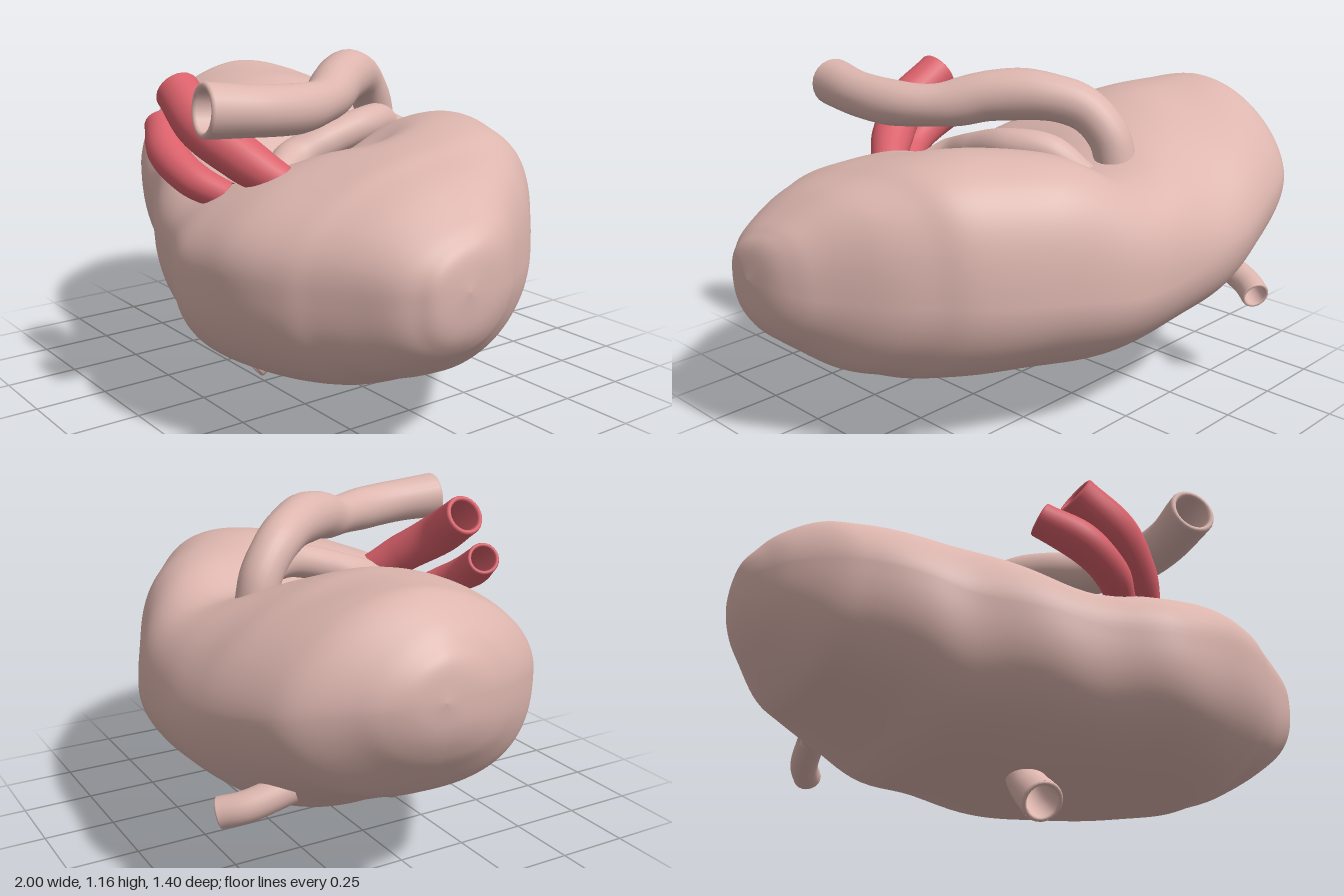
import * as THREE from 'three';

const tissue = new THREE.MeshStandardMaterial({ color: 0xdcb5ae, side: THREE.DoubleSide });
const red = new THREE.MeshStandardMaterial({ color: 0xd9606a, side: THREE.DoubleSide });

// Cross-sections along x: [x, top, bottom, back, front]
const SECTIONS = [
  [-1, .78, .78, -.2, -.2], [-.985, .88, .68, -.3, -.08], [-.95, .93, .6, -.38, .03],
  [-.9, .98, .53, -.45, .13], [-.8, 1.04, .42, -.57, .27], [-.7, 1.045, .37, -.63, .34],
  [-.55, 1.035, .3, -.68, .41], [-.4, 1.02, .225, -.7, .46], [-.2, .96, .2, -.7, .55],
  [0, .91, .17, -.68, .62], [.2, .92, .155, -.64, .69], [.4, .94, .17, -.55, .68],
  [.6, .93, .2, -.43, .6], [.7, .9, .24, -.33, .54], [.8, .86, .28, -.22, .48],
  [.9, .79, .36, -.07, .42], [.95, .75, .41, .01, .37], [.985, .7, .48, .1, .32],
  [1, .6, .6, .22, .22],
];

const bump = (x, z, cx, cz, sx, sz) => Math.exp(-(((x - cx) / sx) ** 2) - ((z - cz) / sz) ** 2);
const power = (v, p) => Math.sign(v) * Math.abs(v) ** p;

// Body: lofted sections, domed at one end, boxier and leaning forward at the other
function bodyGeometry(rows = 110, cols = 120) {
  const spline = (a, b) => new THREE.CatmullRomCurve3(
    SECTIONS.map(s => new THREE.Vector3(s[0], s[a], s[b])), false, 'catmullrom', 0.5);
  const heights = spline(1, 2), depths = spline(3, 4);
  const pos = [], index = [];
  for (let i = 0; i <= rows; i++) {
    const t = i / rows;
    const h = heights.getPoint(t), d = depths.getPoint(t);
    const x = h.x;
    const my = (h.y + h.z) / 2, mz = (d.y + d.z) / 2;
    const ry = (h.y - h.z) / 2, rz = (d.z - d.y) / 2;
    const lobe = THREE.MathUtils.smoothstep(x, -.4, .2);
    const topPower = THREE.MathUtils.lerp(1.12, .78, lobe);
    for (let j = 0; j < cols; j++) {
      const a = j / cols * Math.PI * 2;
      const cos = Math.cos(a), sin = Math.sin(a);
      const p = sin > 0 ? topPower : cos > 0 ? .74 : 1.02;
      const s = power(sin, p);
      const up = Math.max(0, s);
      let y = ry * s;
      let z = rz * power(cos, p);
      const wx = x, wz = mz + z;
      y -= up * (.2 * lobe * z + .1 * bump(wx, wz, .08, .12, .17, .2)
        + .07 * bump(wx, wz, .02, -.2, .14, .3) + .05 * bump(wx, wz, .32, .05, .1, .1));
      const wave = 1 + .012 * Math.sin(8 * x + 5 * y) * Math.cos(7 * wz - 3 * x)
        + .008 * Math.sin(13 * x + 9 * wz + 6 * y);
      pos.push(x, my + y * wave, mz + z * wave);
      if (i < rows) {
        const k = (j + 1) % cols, A = i * cols, B = A + cols;
        index.push(A + j, B + j, A + k, B + j, B + k, A + k);
      }
    }
  }
  const g = new THREE.BufferGeometry();
  g.setAttribute('position', new THREE.Float32BufferAttribute(pos, 3));
  g.setIndex(index);
  g.computeVertexNormals();
  return g;
}

// Sweep whose radius follows a list spread evenly along the curve
function sweep(curve, radii, factor) {
  const n = 48, sides = 24;
  const g = new THREE.TubeGeometry(curve, n, 1, sides);
  const p = g.attributes.position, v = new THREE.Vector3();
  for (let i = 0; i <= n; i++) {
    const c = curve.getPointAt(i / n), f = i / n * (radii.length - 1);
    const k = Math.min(Math.floor(f), radii.length - 2);
    const r = factor * THREE.MathUtils.lerp(radii[k], radii[k + 1], THREE.MathUtils.smoothstep(f - k, 0, 1));
    for (let j = 0; j <= sides; j++) {
      const q = i * (sides + 1) + j;
      v.fromBufferAttribute(p, q).sub(c).multiplyScalar(r).add(c);
      p.setXYZ(q, v.x, v.y, v.z);
    }
  }
  return g;
}

// Hollow vessel: outer wall, inner wall and a rounded lip at the open end
function vessel(name, points, radii, material, open = true) {
  const group = new THREE.Group();
  group.name = name;
  const curve = new THREE.CatmullRomCurve3(points.map(p => new THREE.Vector3(...p)));
  const add = (part, geometry) => {
    const m = new THREE.Mesh(geometry, material);
    m.name = part;
    group.add(m);
    return m;
  };
  add('outerWall', sweep(curve, radii, 1));
  if (open) {
    add('innerWall', sweep(curve, radii, .76));
    const r = radii[radii.length - 1];
    const lip = add('lip', new THREE.TorusGeometry(r * .88, r * .12, 8, 24));
    lip.position.copy(curve.getPointAt(1));
    lip.quaternion.setFromUnitVectors(new THREE.Vector3(0, 0, 1), curve.getTangentAt(1));
  }
  return group;
}

export function createModel() {
  const model = new THREE.Group();
  model.name = 'organ';
  const body = new THREE.Mesh(bodyGeometry(), tissue);
  body.name = 'body';
  model.add(body);

  // Large vessel arching over the top
  model.add(vessel('archedVessel', [
    [-.11, .84, -.34], [-.1, .95, -.31], [-.06, 1.04, -.23], [.03, 1.08, -.11], [.13, 1.075, .02],
    [.23, 1.04, .15], [.31, 1.035, .3], [.335, 1.045, .47], [.31, 1.06, .65],
  ], [.07, .072, .078, .088, .084, .072, .08, .08, .085], tissue));

  // Slender branch lying in the hollow below it
  model.add(vessel('innerBranch', [
    [.0, .82, -.3], [.08, .91, -.2], [.14, .92, -.08], [.14, .88, .08], [.13, .83, .2], [.19, .78, .34],
  ], [.05, .06, .06, .06, .07, .04], tissue, false));

  // Pair of red vessels at the front
  model.add(vessel('upperRedVessel', [
    [.31, .79, .36], [.21, .87, .45], [.08, .96, .52], [-.08, 1.06, .52],
  ], [.06, .075, .08, .075], red));
  model.add(vessel('lowerRedVessel', [
    [.13, .74, .47], [.04, .79, .54], [-.08, .855, .56], [-.215, .93, .51],
  ], [.05, .06, .065, .058], red));

  // Open stubs underneath and at the back
  model.add(vessel('lowerStub', [
    [-.03, .26, .06], [-.05, .14, .17], [-.065, .065, .265],
  ], [.06, .065, .07], tissue));
  model.add(vessel('backStub', [
    [-.58, .42, -.46], [-.55, .375, -.6], [-.51, .355, -.665],
  ], [.05, .05, .05], tissue));
  return model;
}
